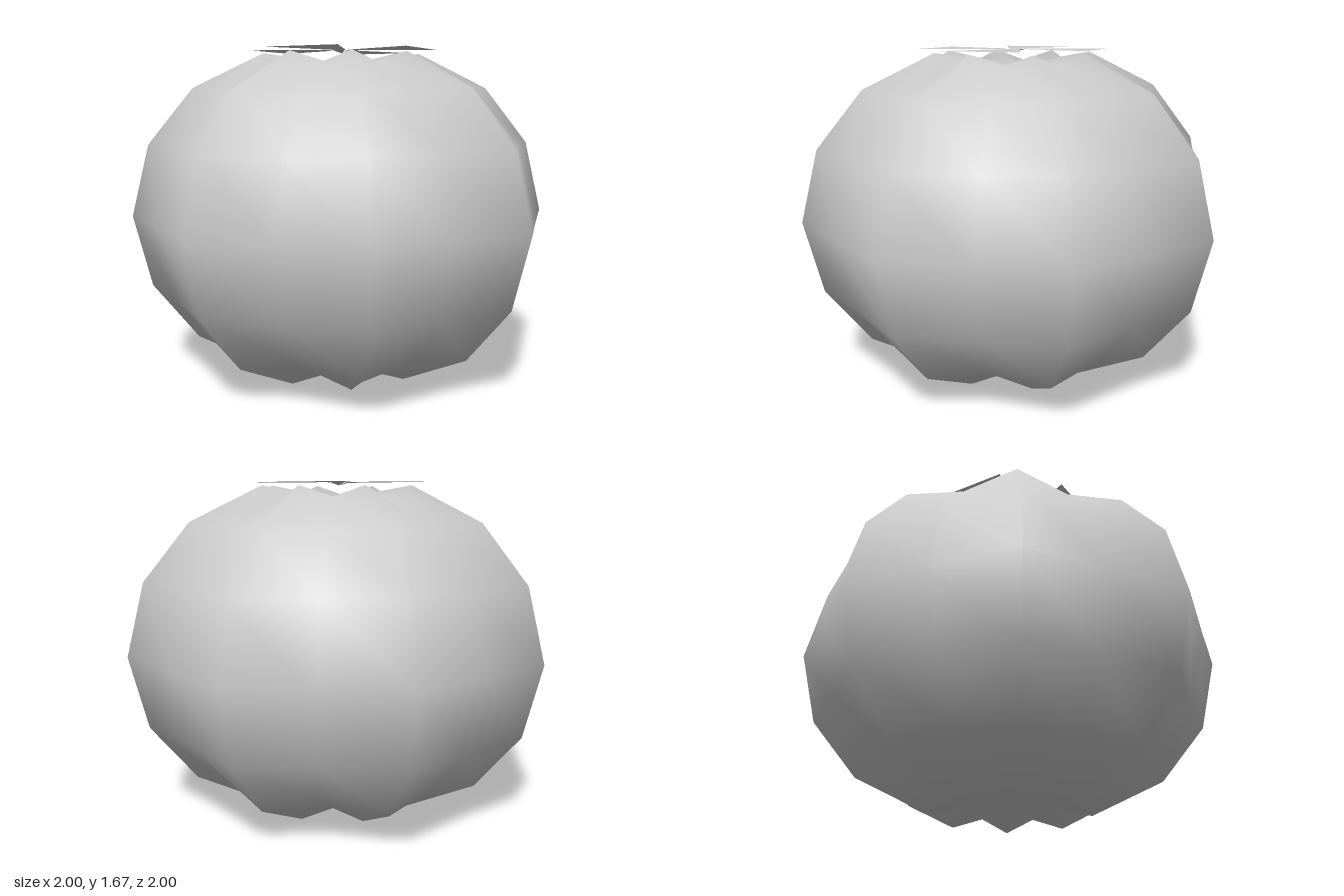
import * as THREE from 'three';
import { mergeVertices } from 'three/addons/utils/BufferGeometryUtils.js';

const MID = 0.825; // height of the widest ring

// Profile from pole to equator: ridge radius, height offset, groove scale
const PROFILE = [
  [0, 0.76, 1],
  [0.4, 0.825, 0.935],
  [0.76, 0.65, 0.95],
  [0.99, 0.365, 0.987],
  [1.08, 0, 0.997],
];

// Ribbed fruit: 16 columns alternating ridge and groove, dimpled at both poles
function bodyGeometry() {
  const sphere = new THREE.SphereGeometry(1, 16, 8);
  const pos = sphere.attributes.position;
  for (let k = 0; k < pos.count; k++) {
    const row = Math.floor(k / 17), col = k % 17;
    const [radius, height, groove] = PROFILE[row <= 4 ? row : 8 - row];
    const isGroove = col % 2 === 0 && radius > 0;
    const r = isGroove ? radius * Math.cos(Math.PI / 8) * groove : radius;
    const y = isGroove ? height * groove : height;
    const a = ((col % 16) * Math.PI) / 8;
    pos.setXYZ(k, -r * Math.cos(a), MID + (row <= 4 ? y : -y), r * Math.sin(a));
  }
  // weld the seam so shading is smooth all round
  sphere.deleteAttribute('uv');
  sphere.deleteAttribute('normal');
  const geometry = mergeVertices(sphere, 1e-4);
  geometry.computeVertexNormals();
  return geometry;
}

// One flat leaf with a short inner fold dipping to the centre
function leafGeometry() {
  const top = 1.667;
  const points = [
    [0, 1.65, 0], [0.02, top, -0.068], [0.25, top, -0.41],
    [0.47, top, -0.08], [0.06, top, -0.005],
  ];
  const geometry = new THREE.BufferGeometry();
  geometry.setAttribute('position', new THREE.Float32BufferAttribute(points.flat(), 3));
  geometry.setIndex([0, 4, 1, 1, 4, 3, 1, 3, 2]);
  const flat = geometry.toNonIndexed();
  flat.computeVertexNormals();
  return flat;
}

export function createModel() {
  const model = new THREE.Group();
  model.name = 'fruit';
  const grey = new THREE.MeshStandardMaterial({ color: 0xcccccc, side: THREE.DoubleSide });
  grey.name = 'light grey';

  const body = new THREE.Mesh(bodyGeometry(), grey);
  body.name = 'body';
  model.add(body);

  // Four leaves around the crown
  const leaves = new THREE.Group();
  leaves.name = 'leaves';
  const leaf = leafGeometry();
  for (let i = 0; i < 4; i++) {
    const mesh = new THREE.Mesh(leaf, grey);
    mesh.name = 'leaf' + (i + 1);
    mesh.rotation.y = (i * Math.PI) / 2;
    leaves.add(mesh);
  }
  model.add(leaves);
  return model;
}
